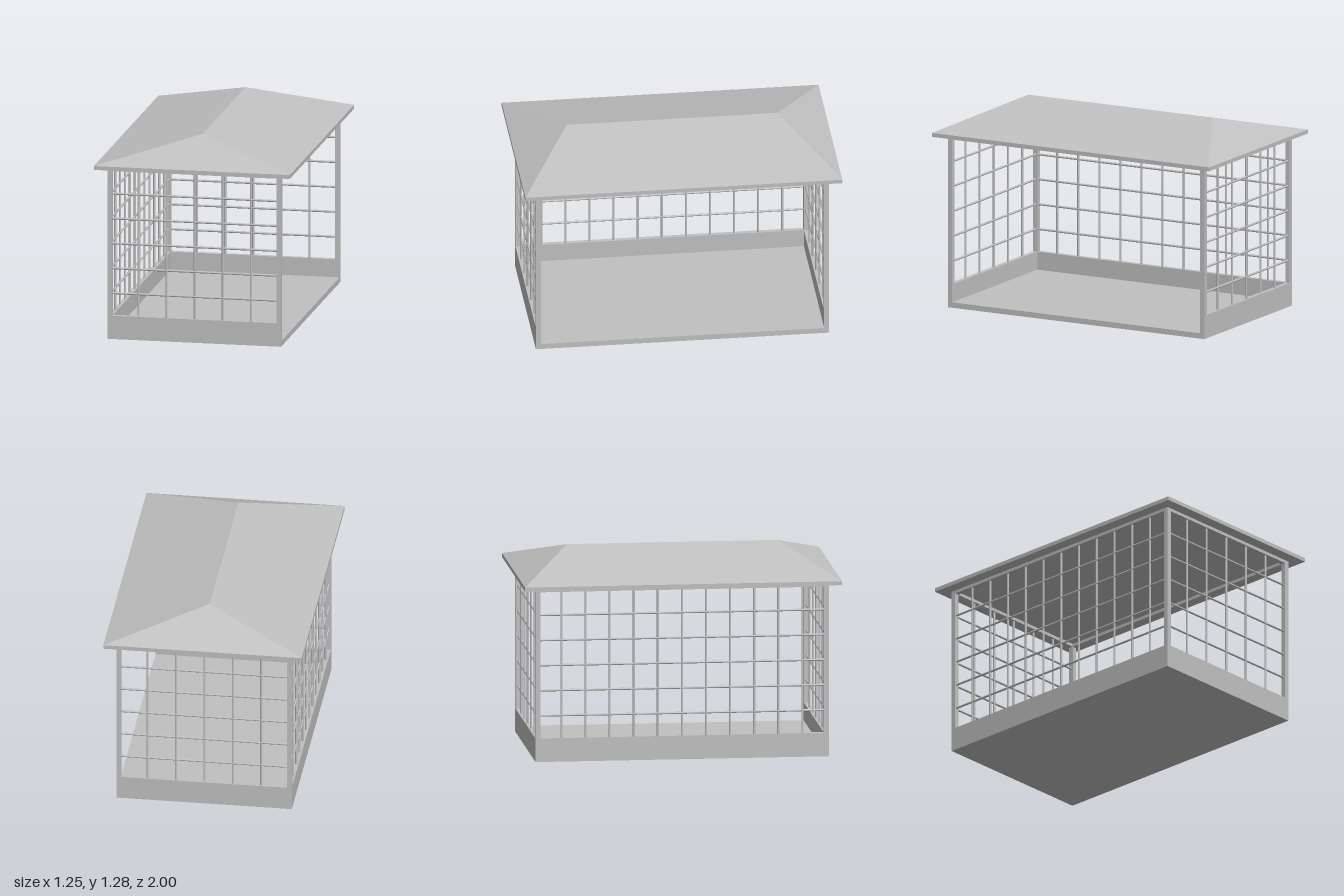
import * as THREE from 'three';
import { ConvexGeometry } from 'three/addons/geometries/ConvexGeometry.js';

const X = 0.555, Z = 0.925, T = 0.03;       // half width, half depth, wall thickness
const TOP = 1.1, LINTEL = 1.08, SILL = 0.15, FLOOR = 0.035;
const ROD = 0.007;

export function createModel() {
  const model = new THREE.Group();
  const grey = new THREE.MeshStandardMaterial({ color: 0xc0c0c0 });
  grey.name = 'light grey';

  const add = (parent, name, geometry, x = 0, y = 0, z = 0) => {
    const mesh = new THREE.Mesh(geometry, grey);
    mesh.name = name;
    mesh.position.set(x, y, z);
    parent.add(mesh);
    return mesh;
  };

  // Upright frame centred on its own plane, with one rectangular opening
  function frame(half, holeHalf, sill) {
    const s = new THREE.Shape();
    s.moveTo(-half, 0).lineTo(half, 0).lineTo(half, TOP).lineTo(-half, TOP).closePath();
    const h = new THREE.Path();
    h.moveTo(-holeHalf, sill).lineTo(-holeHalf, LINTEL).lineTo(holeHalf, LINTEL).lineTo(holeHalf, sill).closePath();
    s.holes.push(h);
    return new THREE.ExtrudeGeometry(s, { depth: T, bevelEnabled: false }).translate(0, 0, -T / 2);
  }

  // Wall with a lattice of thin round rods, evenly spaced
  function wall(name, half, holeHalf, sill, uprights, spacing) {
    const g = new THREE.Group();
    g.name = name;
    add(g, name + 'Frame', frame(half, holeHalf, sill));
    if (uprights) {
      const height = LINTEL - sill;
      const upright = new THREE.CylinderGeometry(ROD, ROD, height, 10, 1, true);
      const bar = new THREE.CylinderGeometry(ROD, ROD, holeHalf * 2, 10, 1, true).rotateZ(Math.PI / 2);
      for (let i = 0; i < uprights; i++)
        add(g, 'uprightRod', upright, (i - (uprights - 1) / 2) * spacing, sill + height / 2, 0);
      for (let i = 0; i < 5; i++) add(g, 'crossRod', bar, 0, 0.293 + i * 0.16, 0);
    }
    model.add(g);
    return g;
  }

  // Latticed front and back, latticed long wall on one side, open frame on the other
  wall('frontWall', X, X - T, SILL, 5, 0.18).position.z = Z - T / 2;
  wall('backWall', X, X - T, SILL, 5, 0.18).position.z = -Z + T / 2;
  const side = wall('rightWall', Z - T, Z - T - 0.0005, SILL, 11, 0.152);
  side.rotation.y = Math.PI / 2;
  side.position.x = -X + T / 2;
  const open = wall('openSide', Z - T, Z - T - 0.0005, FLOOR, 0, 0);
  open.rotation.y = Math.PI / 2;
  open.position.x = X - T / 2;

  // Floor slab between the walls
  add(model, 'floor', new THREE.BoxGeometry(2 * (X - T), FLOOR, 2 * (Z - T)), 0, FLOOR / 2, 0);

  // Hipped roof with a thin eave
  const points = [];
  for (const sz of [-1, 1]) {
    points.push(new THREE.Vector3(0, 1.285, sz * 0.665));
    for (const sx of [-1, 1])
      for (const y of [TOP, 1.125]) points.push(new THREE.Vector3(sx * 0.627, y, sz));
  }
  add(model, 'roof', new ConvexGeometry(points));

  return model;
}
